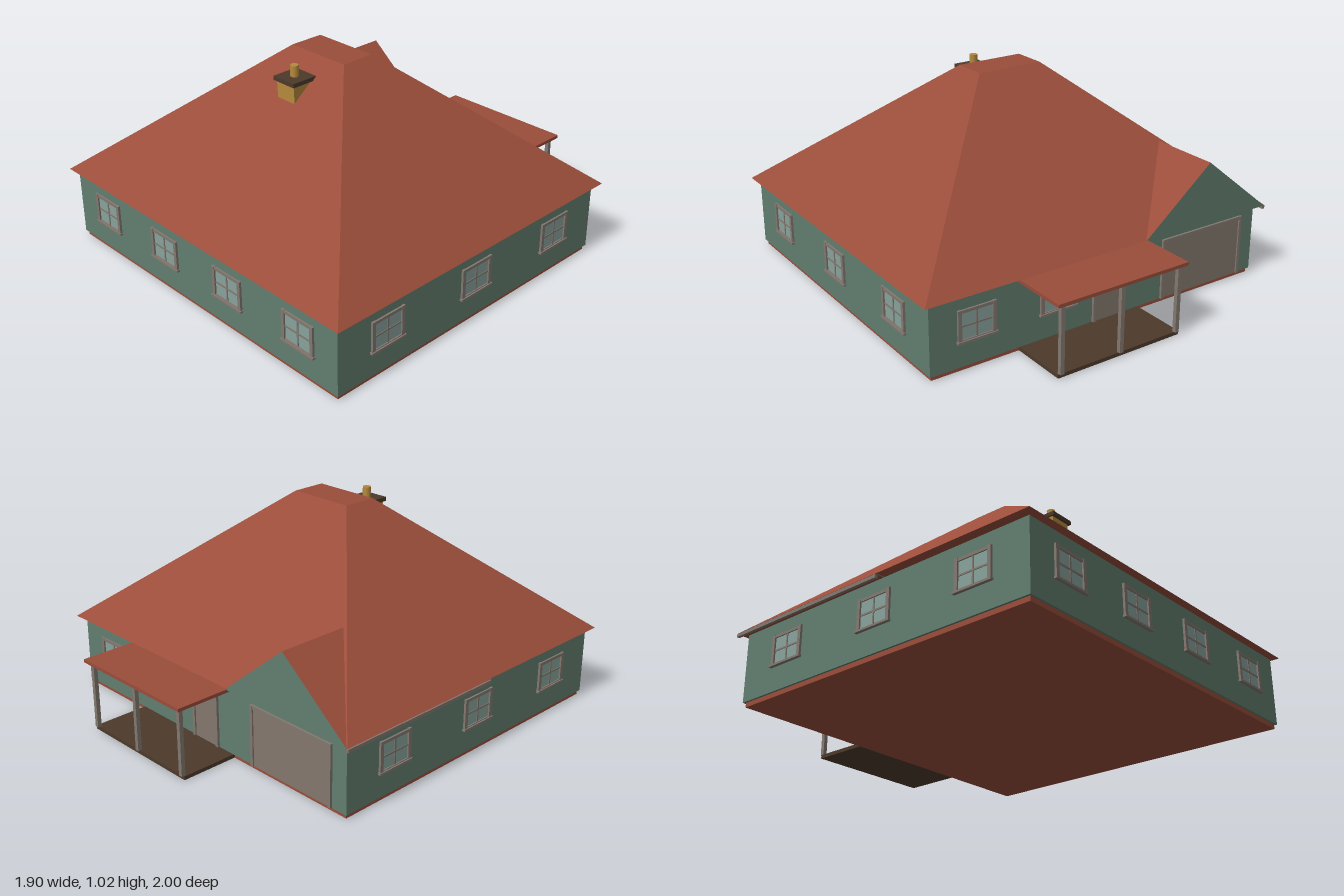
import * as THREE from 'three';

export function createModel() {
  const model = new THREE.Group();
  model.name = 'house';
  const mat = (name, color) => {
    const m = new THREE.MeshStandardMaterial({ color });
    m.name = name;
    return m;
  };
  const roofRed = mat('roof red', 0x9a4d3a);
  const wallGreen = mat('wall green', 0x627e6f);
  const glassMat = mat('pale glass', 0x88a29b);
  const trim = mat('trim grey', 0x827870);
  const doorMat = mat('door grey', 0x83776d);
  const darkWood = mat('dark wood', 0x4c3a2b);
  const ochre = mat('chimney ochre', 0xb78a3d);

  const add = (parent, name, geometry, material) => {
    const mesh = new THREE.Mesh(geometry, material);
    mesh.name = name;
    parent.add(mesh);
    return mesh;
  };
  // Box given by its lower and upper limits on each axis
  const box = (parent, name, material, x0, x1, y0, y1, z0, z1) => {
    const g = new THREE.BoxGeometry(x1 - x0, y1 - y0, z1 - z0);
    g.translate((x0 + x1) / 2, (y0 + y1) / 2, (z0 + z1) / 2);
    return add(parent, name, g, material);
  };
  // Box whose top (or bottom) ring is scaled in x and z
  const taperedBox = (w, h, d, sx, sz, top = true) => {
    const g = new THREE.BoxGeometry(w, h, d);
    const p = g.attributes.position;
    for (let i = 0; i < p.count; i++) {
      if (p.getY(i) > 0 === top) p.setXYZ(i, p.getX(i) * sx, p.getY(i), p.getZ(i) * sz);
    }
    g.computeVertexNormals();
    return g;
  };

  // Foundation and walls
  box(model, 'foundation', roofRed, -0.9, 0.9, 0, 0.024, -0.685, 0.96);
  box(model, 'walls', wallGreen, -0.91, 0.91, 0.022, 0.353, -0.695, 0.97);

  // Hipped main roof with a flat top
  add(model, 'mainRoof', taperedBox(1.89, 0.655, 1.73, 0.18, 0.1), roofRed)
    .position.set(0, 0.69, 0.135);

  // Cross gable above the garage: green end wall, red slopes
  const gable = new THREE.Shape();
  gable.moveTo(-0.945, 0.358);
  gable.lineTo(-0.2, 0.358);
  gable.lineTo(-0.572, 0.66);
  gable.closePath();
  const gableGeo = new THREE.ExtrudeGeometry(gable, { depth: 0.912, bevelEnabled: false });
  add(model, 'garageGable', gableGeo, [wallGreen, roofRed]).position.z = -0.732;
  box(model, 'gutter', trim, -0.951, -0.937, 0.341, 0.357, -0.73, 0.18);

  // Window facing +z, with its back on z = 0
  const addWindow = (x, y, z, turn) => {
    const w = new THREE.Group();
    w.name = 'window';
    box(w, 'glass', glassMat, -0.08, 0.08, -0.065, 0.065, -0.005, 0.003);
    for (const s of [-1, 1]) {
      box(w, 'frameSide', trim, s * 0.086 - 0.009, s * 0.086 + 0.009, -0.07, 0.078, -0.005, 0.011);
      box(w, 'frameRail', trim, -0.08, 0.08, s * 0.069 - 0.007, s * 0.069 + 0.007, -0.005, 0.009);
    }
    box(w, 'mullion', trim, -0.004, 0.004, -0.065, 0.065, 0, 0.006);
    box(w, 'crossbar', trim, -0.08, 0.08, -0.004, 0.004, 0, 0.006);
    box(w, 'sill', trim, -0.1, 0.1, -0.076, -0.066, -0.005, 0.016);
    w.position.set(x, y, z);
    w.rotation.y = turn;
    model.add(w);
  };
  for (const x of [-0.67, -0.223, 0.225, 0.68]) addWindow(x, 0.214, 0.97, 0);
  for (const z of [0.69, 0.14, -0.41]) {
    addWindow(0.91, 0.214, z, Math.PI / 2);
    addWindow(-0.91, 0.214, z, -Math.PI / 2);
  }
  for (const x of [0.68, 0.26]) addWindow(x, 0.214, -0.695, Math.PI);

  // Garage door and entrance door on the back wall
  const addDoor = (name, x0, x1, top) => {
    const d = new THREE.Group();
    d.name = name;
    box(d, 'panel', doorMat, x0, x1, 0.024, top, -0.7, -0.692);
    for (const x of [x0, x1]) box(d, 'jamb', trim, x - 0.008, x + 0.008, 0.024, top + 0.008, -0.707, -0.692);
    box(d, 'lintel', trim, x0, x1, top - 0.008, top + 0.008, -0.706, -0.692);
    model.add(d);
  };
  addDoor('garageDoor', -0.82, -0.34, 0.315);
  addDoor('entranceDoor', -0.1, 0.06, 0.3);

  // Porch
  const porch = new THREE.Group();
  porch.name = 'porch';
  model.add(porch);
  box(porch, 'porchFloor', darkWood, -0.2, 0.46, 0.002, 0.02, -0.972, -0.685);
  box(porch, 'porchRoof', roofRed, -0.215, 0.482, 0.347, 0.363, -1, -0.66);
  for (const x of [-0.185, 0.13, 0.445]) {
    box(porch, 'porchPost', trim, x - 0.01, x + 0.01, 0.02, 0.347, -0.982, -0.962);
  }

  // Chimney
  const chimney = new THREE.Group();
  chimney.name = 'chimney';
  chimney.position.set(0.002, 0, 0.365);
  model.add(chimney);
  add(chimney, 'chimneyStack', taperedBox(0.116, 0.16, 0.11, 0.88, 0.95, false), ochre).position.y = 0.857;
  add(chimney, 'chimneyCap', new THREE.BoxGeometry(0.134, 0.02, 0.134), darkWood).position.y = 0.946;
  add(chimney, 'chimneyPot', new THREE.CylinderGeometry(0.02, 0.02, 0.055, 10), ochre).position.y = 0.982;

  return model;
}
